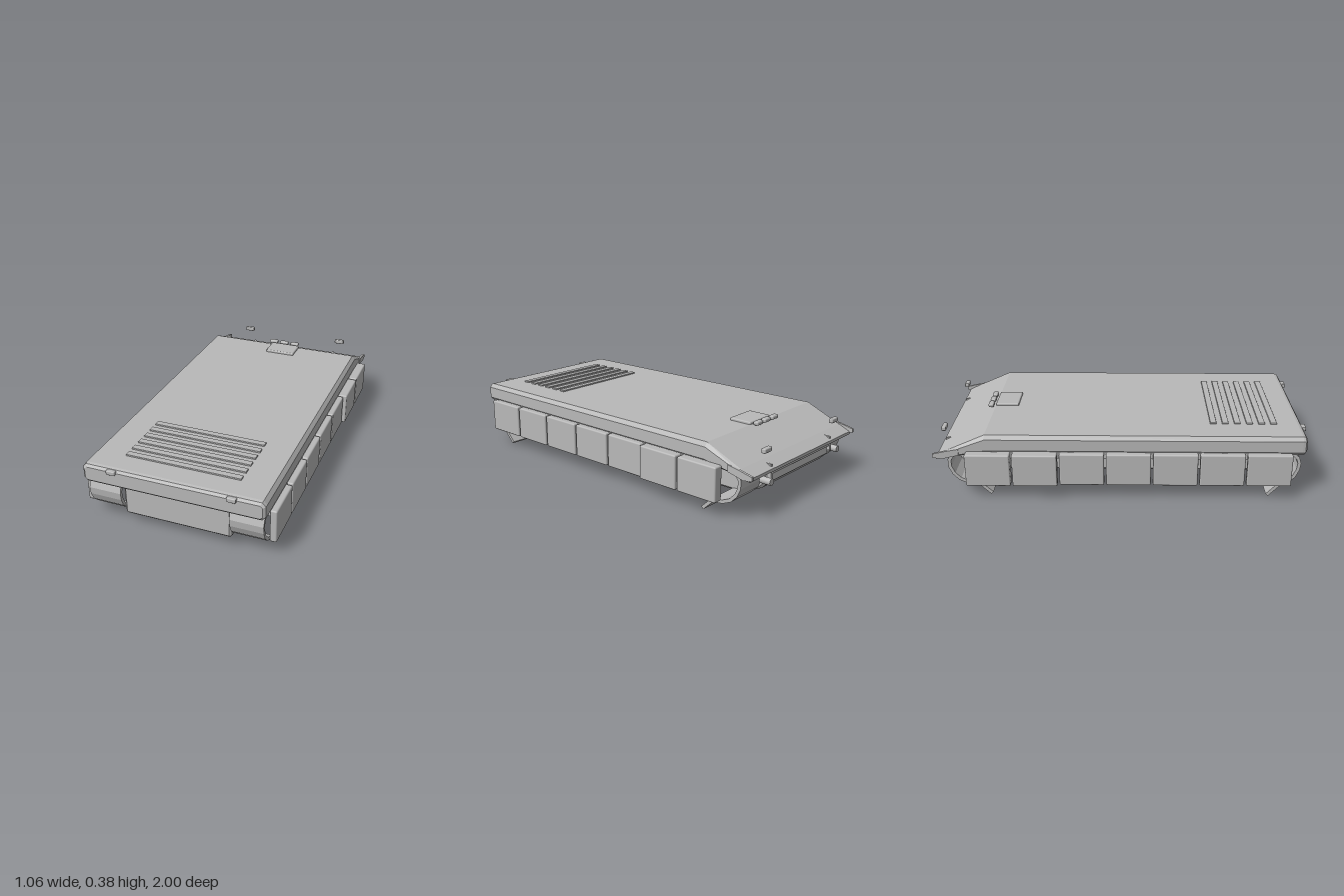
import * as THREE from 'three';
import { RoundedBoxGeometry } from 'three/addons/geometries/RoundedBoxGeometry.js';

export function createModel() {
  const model = new THREE.Group();
  model.name = 'armouredHull';
  const grey = new THREE.MeshStandardMaterial({ color: 0xb8b8b8 });
  grey.name = 'plain grey';

  const add = (name, geometry, x = 0, y = 0, z = 0) => {
    const mesh = new THREE.Mesh(geometry, grey);
    mesh.name = name;
    mesh.position.set(x, y, z);
    model.add(mesh);
    return mesh;
  };
  const block = (name, w, h, d, x, y, z, r = 0.004) =>
    add(name, new RoundedBoxGeometry(w, h, d, 2, r), x, y, z);

  // Extrudes a [z, y] outline across x, centred on x = 0
  const extrudeX = (points, width, bevel = 0) => {
    const shape = new THREE.Shape(points.map(p => new THREE.Vector2(...p)));
    const g = new THREE.ExtrudeGeometry(shape, {
      depth: width - 2 * bevel, bevelEnabled: bevel > 0, bevelSize: bevel,
      bevelThickness: bevel, bevelOffset: -bevel, bevelSegments: 1,
    });
    return g.rotateY(-Math.PI / 2).translate(width / 2 - bevel, 0, 0);
  };

  // Skins closed cross-sections running from front to back
  const loft = sections => {
    const n = sections[0].length;
    const index = [];
    for (let i = 0; i < sections.length - 1; i++) {
      for (let j = 0; j < n; j++) {
        const a = i * n + j, b = i * n + (j + 1) % n;
        index.push(a, a + n, b, b, a + n, b + n);
      }
    }
    const last = (sections.length - 1) * n;
    for (let j = 1; j < n - 1; j++) {
      index.push(0, j, j + 1, last, last + j + 1, last + j);
    }
    const g = new THREE.BufferGeometry();
    g.setAttribute('position', new THREE.Float32BufferAttribute(sections.flat(2), 3));
    g.setIndex(index);
    const flat = g.toNonIndexed();
    flat.computeVertexNormals();
    return flat;
  };

  // Upper hull: [z, top half-width, half-width, top, upper chamfer, lower chamfer, bottom]
  const stations = [
    [0.985, 0.455, 0.468, 0.342, 0.33, 0.28, 0.268],
    [0.975, 0.462, 0.48, 0.356, 0.338, 0.275, 0.257],
    [0.96, 0.465, 0.482, 0.36, 0.338, 0.275, 0.255],
    [-0.72, 0.465, 0.482, 0.36, 0.338, 0.275, 0.255],
    [-0.92, 0.465, 0.482, 0.272, 0.262, 0.24, 0.232],
    [-0.982, 0.475, 0.484, 0.238, 0.234, 0.226, 0.222],
  ];
  add('upperHull', loft(stations.map(([z, wt, w, top, hi, lo, bot]) => [
    [-wt, bot, z], [wt, bot, z], [w, lo, z], [w, hi, z],
    [wt, top, z], [-wt, top, z], [-w, hi, z], [-w, lo, z],
  ])));

  // Lower hull with sloping rear plate
  add('lowerHull', extrudeX([
    [0.93, 0.262], [-0.955, 0.23], [-0.96, 0.16], [-0.92, 0.12],
    [-0.81, 0.065], [0.915, 0.065], [0.93, 0.08],
  ], 0.58, 0.012));
  block('rearLip', 0.56, 0.02, 0.02, 0, 0.215, -0.965);

  // Curved mudguards, thickened inward from an outer path
  const guard = (path, t) => {
    const inner = path.map(([z, y], i) => {
      const p = path[Math.max(i - 1, 0)], q = path[Math.min(i + 1, path.length - 1)];
      const dz = q[0] - p[0], dy = q[1] - p[1], len = Math.hypot(dz, dy);
      return [z - dy / len * t, y + dz / len * t];
    });
    return [...path, ...inner.reverse()];
  };
  const frontPath = [[0.8, 0.005], [0.855, 0.063], [0.9, 0.083], [0.937, 0.12],
    [0.957, 0.165], [0.962, 0.205], [0.95, 0.24], [0.92, 0.266]];
  const rearPath = [[-0.9, 0.25], [-0.925, 0.215], [-0.925, 0.17], [-0.905, 0.125],
    [-0.87, 0.09], [-0.82, 0.068], [-0.765, 0.063], [-0.705, 0.005]];

  for (const s of [1, -1]) {
    const side = s > 0 ? 'left' : 'right';
    add(side + 'FrontMudguard', extrudeX(guard(frontPath, 0.018), 0.175), s * 0.379);
    add(side + 'RearMudguard', extrudeX(guard(rearPath, 0.018), 0.175), s * 0.379);
    block(side + 'SkirtRail', 0.016, 0.04, 1.7, s * 0.474, 0.25, 0.05);

    // Side skirts, the two rearmost panels being thicker
    for (let i = 0; i < 7; i++) {
      const w = i > 4 ? 0.054 : 0.036;
      block(side + 'SkirtPanel' + (i + 1), w, 0.182, 0.238,
        s * (0.478 + w / 2), 0.18, 0.79 - i * 0.249, 0.008);
    }

    // Pointed rear corner
    add(side + 'RearCorner', extrudeX([
      [-0.86, 0.285], [-0.93, 0.272], [-1, 0.256], [-1, 0.235], [-0.95, 0.228], [-0.86, 0.25],
    ], 0.014), s * 0.481);
    add(side + 'RearFin', extrudeX([
      [-0.92, 0.265], [-0.97, 0.255], [-0.975, 0.18], [-0.95, 0.18],
    ], 0.012), s * 0.28);

    // Lamps and towing lugs
    block(side + 'RearLamp', 0.06, 0.025, 0.025, s * 0.318, 0.338, -0.963, 0.006);
    block(side + 'FrontLug', 0.048, 0.024, 0.024, s * 0.316, 0.345, 0.988, 0.005);
    const hook = add(side + 'TowHook', new THREE.CylinderGeometry(0.018, 0.018, 0.06, 16),
      s * 0.318, 0.182, -0.97);
    hook.rotation.x = Math.PI / 2;
  }

  // Engine deck slats
  for (let i = 0; i < 6; i++) {
    block('deckSlat' + (i + 1), 0.62, 0.016, 0.034, 0, 0.36, 0.502 + i * 0.0655, 0.002);
  }

  // Driver hatch and periscopes
  block('driverHatch', 0.18, 0.026, 0.13, 0.017, 0.361, -0.655, 0.007);
  for (let i = -1; i <= 1; i++) {
    block('periscope' + (i + 2), 0.054, 0.022, 0.03, i * 0.07, 0.369, -0.745, 0.008);
  }
  return model;
}
